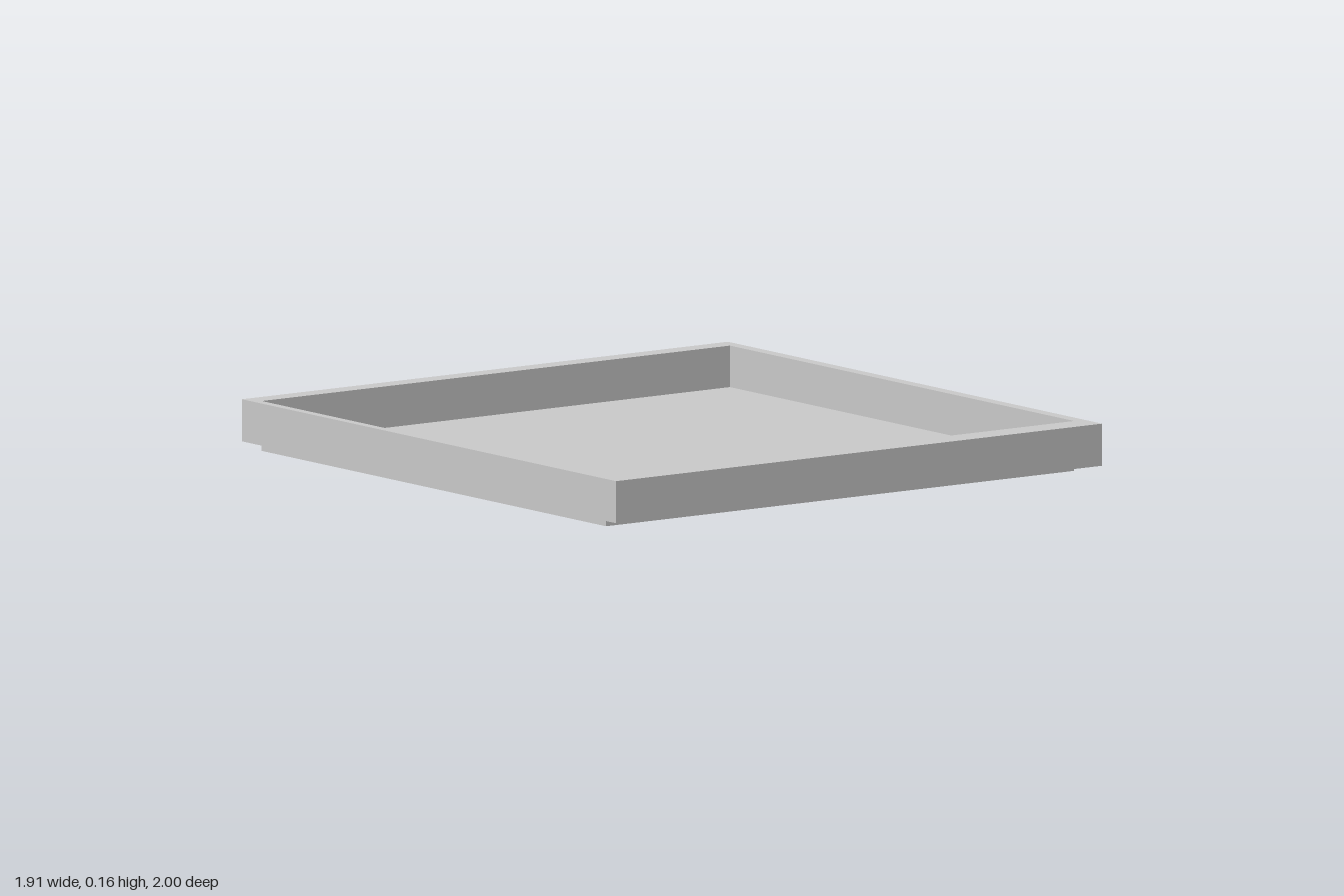
import * as THREE from 'three';

// Outer frame and the slightly off-centre opening that holds the base plate
const OUTER = { x0: -0.955, x1: 0.955, z0: -1, z1: 1 };
const INNER = { x0: -0.925, x1: 0.915, z0: -0.935, z1: 0.905 };
const FRAME_BOTTOM = 0.025, FRAME_TOP = 0.16, FLOOR_TOP = 0.027;

// Rectangle drawn in the ground plane (shape y becomes -z)
function outline(Type, r) {
  return new Type([[r.x0, -r.z1], [r.x1, -r.z1], [r.x1, -r.z0], [r.x0, -r.z0]]
    .map(([x, y]) => new THREE.Vector2(x, y)));
}

export function createModel() {
  const model = new THREE.Group();
  model.name = 'tray';
  const material = new THREE.MeshStandardMaterial({ color: 0xcccccc });

  function addSlab(name, shape, bottom, top) {
    const geometry = new THREE.ExtrudeGeometry(shape, { depth: top - bottom, bevelEnabled: false });
    geometry.rotateX(-Math.PI / 2).translate(0, bottom, 0);
    const mesh = new THREE.Mesh(geometry, material);
    mesh.name = name;
    model.add(mesh);
  }

  // Raised rim around the opening
  const rim = outline(THREE.Shape, OUTER);
  rim.holes.push(outline(THREE.Path, INNER));
  addSlab('rim', rim, FRAME_BOTTOM, FRAME_TOP);

  // Thin base plate, standing proud below the rim
  addSlab('basePlate', outline(THREE.Shape, INNER), 0, FLOOR_TOP);

  return model;
}
